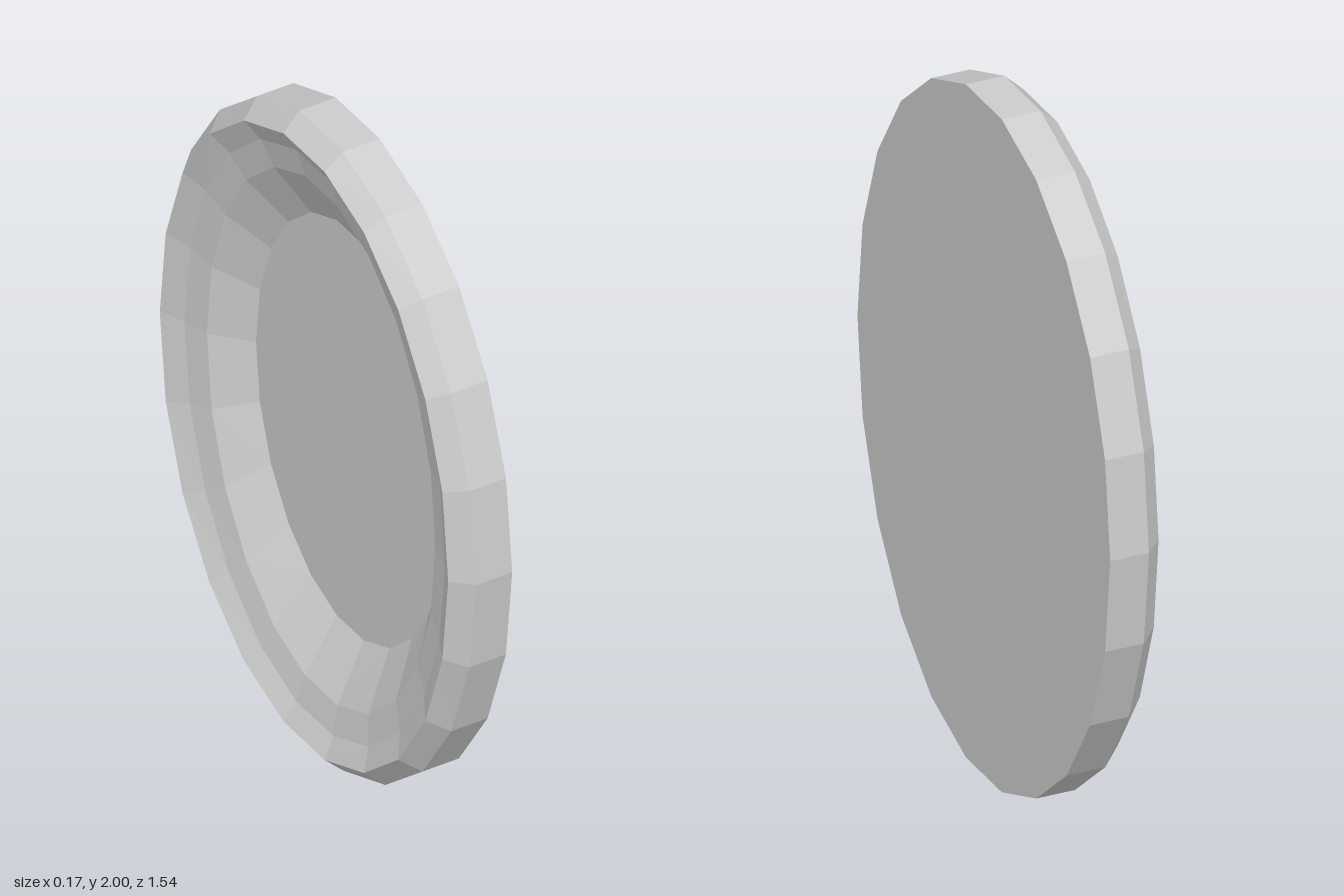
import * as THREE from 'three';

const SIDES = 22;

// Elliptical rings [x, radius along y, radius along z], from the flat back to the recessed floor
const RINGS = {
  flatBack: [0.083, 1.01, 0.772],
  outerRim: [-0.03, 1.01, 0.772],
  lip: [-0.083, 0.96, 0.72],
  lipInner: [-0.05, 0.9, 0.65],
  ledge: [-0.03, 0.815, 0.57],
  floor: [0.06, 0.645, 0.47],
};

function ringPoint([x, ry, rz], i) {
  const a = (i / SIDES) * Math.PI * 2;
  return [x, 1 + ry * Math.sin(a), rz * Math.cos(a)];
}

function makeMesh(name, positions, material) {
  const geometry = new THREE.BufferGeometry();
  geometry.setAttribute('position', new THREE.Float32BufferAttribute(positions, 3));
  geometry.computeVertexNormals();
  const mesh = new THREE.Mesh(geometry, material);
  mesh.name = name;
  return mesh;
}

// Faceted band joining two rings
function band(name, from, to, material) {
  const p = [];
  for (let i = 0; i < SIDES; i++) {
    const a = ringPoint(from, i), b = ringPoint(from, i + 1);
    const c = ringPoint(to, i + 1), d = ringPoint(to, i);
    p.push(...a, ...d, ...c, ...a, ...c, ...b);
  }
  return makeMesh(name, p, material);
}

// Flat elliptical disc facing +x (dir 1) or -x (dir -1)
function disc(name, ring, dir, material) {
  const p = [];
  for (let i = 0; i < SIDES; i++) {
    const a = ringPoint(ring, i), b = ringPoint(ring, i + 1);
    p.push(ring[0], 1, 0, ...(dir > 0 ? b : a), ...(dir > 0 ? a : b));
  }
  return makeMesh(name, p, material);
}

export function createModel() {
  const model = new THREE.Group();
  model.name = 'ovalFrame';
  const material = new THREE.MeshStandardMaterial({ color: 0xcccccc, flatShading: true, side: THREE.DoubleSide });
  const { flatBack, outerRim, lip, lipInner, ledge, floor } = RINGS;

  model.add(
    disc('backPanel', flatBack, 1, material),
    band('outerEdge', flatBack, outerRim, material),
    band('outerBevel', outerRim, lip, material),
    band('innerBevel', lip, lipInner, material),
    band('innerLedge', lipInner, ledge, material),
    band('slopedWall', ledge, floor, material),
    disc('recessedFloor', floor, -1, material),
  );
  return model;
}
